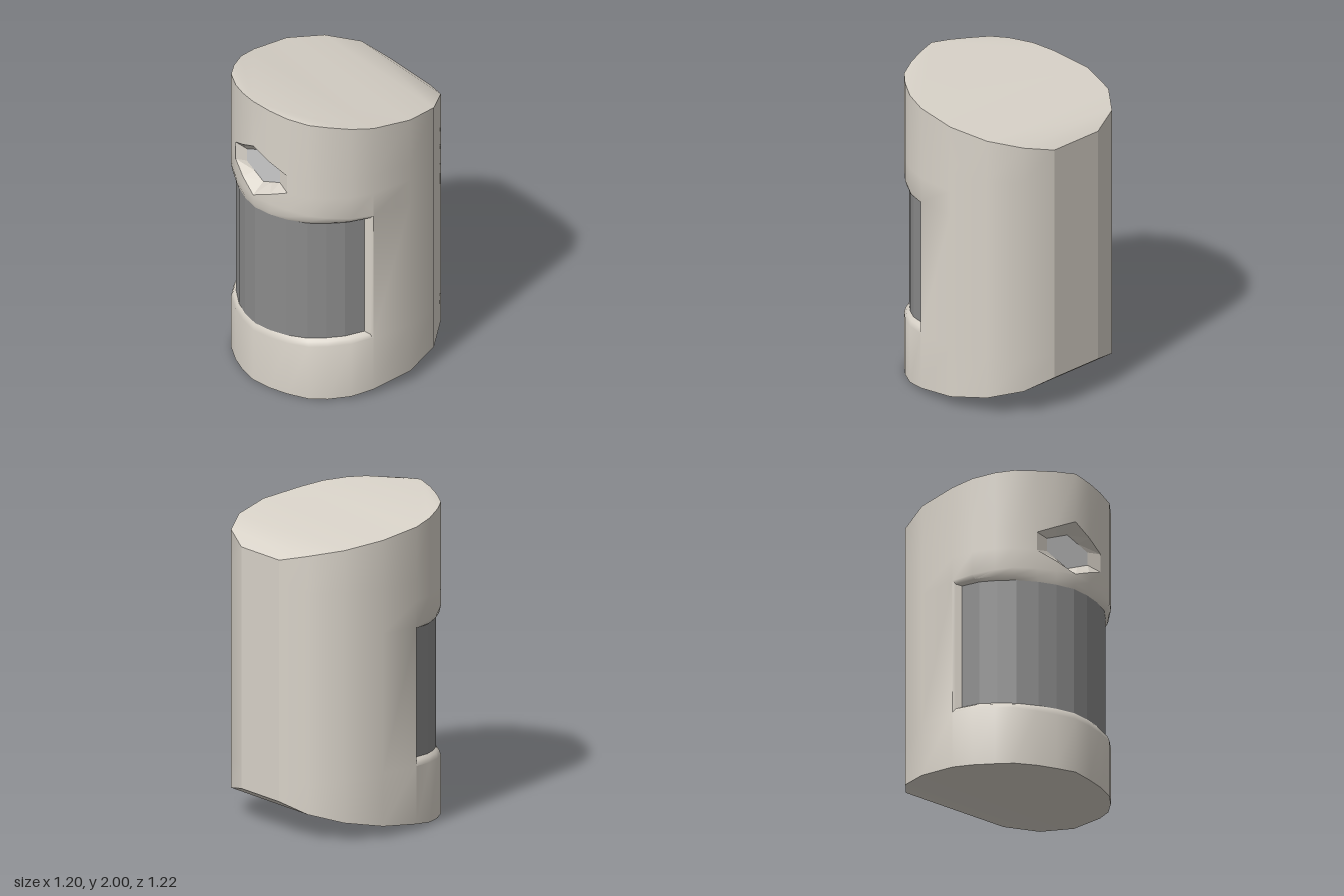
import * as THREE from 'three';
import { toCreasedNormals } from 'three/addons/utils/BufferGeometryUtils.js';

const V = (x, y, z) => new THREE.Vector3(x, y, z);

// Half outline from back to front: x, z, bottom height, top height
const HALF = [
  [0.19, -0.61, 0.215, 1.735], [0.385, -0.54, 0.165, 1.79], [0.53, -0.37, 0.115, 1.83],
  [0.6, -0.13, 0.07, 1.87], [0.58, 0.14, 0.035, 1.905], [0.535, 0.275, 0.015, 1.93],
  [0.455, 0.395, 0.003, 1.95], [0.375, 0.48, 0, 1.96], [0.25, 0.545, 0, 1.97],
  [0.13, 0.585, 0, 1.985], [0, 0.61, 0.005, 2],
];
const SIDE = 4; // outline point where the window ends

// Front-window lens, from side to centre: x, z
const LENS = [[0.53, 0.17], [0.49, 0.29], [0.425, 0.38], [0.345, 0.465], [0.23, 0.535], [0.12, 0.575], [0, 0.595]];

// Quads between two point rows; the lower row runs to the right as seen from outside
function ribbon(out, lower, upper, skip = () => false) {
  for (let i = 0; i + 1 < lower.length; i++) {
    if (skip(i)) continue;
    const [a, b, c, d] = [lower[i], lower[i + 1], upper[i + 1], upper[i]];
    for (const [p, q, r] of [[a, b, c], [a, c, d]]) {
      const area = q.clone().sub(p).cross(r.clone().sub(p)).length();
      if (area > 1e-7) out.push(p, q, r);
    }
  }
}

function toMesh(name, points, color, crease = 0) {
  let geo = new THREE.BufferGeometry().setFromPoints(points);
  geo.computeVertexNormals();
  if (crease) geo = toCreasedNormals(geo, crease);
  const mesh = new THREE.Mesh(geo, new THREE.MeshStandardMaterial({ color, flatShading: !crease }));
  mesh.name = name;
  return mesh;
}

// Mirror a side-to-centre list into a full left-to-right list
const mirror = (list) => [...list.map(([x, ...r]) => [-x, ...r]), ...list.slice(0, -1).reverse()];

export function createModel() {
  const group = new THREE.Group();
  const SHELL = 0xd8d2c8;

  // Columns around the shell with the heights of window and sensor opening
  const columns = mirror(HALF).map(([x, z, bottom, top]) => {
    const w = Math.min(1, Math.abs(x) / 0.58) ** 3;
    const h = Math.min(1, Math.abs(x) / 0.25);
    return {
      x, z,
      ys: [bottom, 0.36 + 0.04 * w, 1.32 - 0.04 * w, 1.33 + 0.11 * h, 1.68 - 0.12 * h, top],
    };
  });
  const row = (k) => columns.map((c) => V(c.x, c.ys[k], c.z));
  const rows = [0, 1, 2, 3, 4, 5].map(row);
  const last = columns.length - 1;
  const inWindow = (i) => i >= SIDE && i < last - SIDE;
  const inOpening = (i) => i >= 8 && i < last - 8;

  // Curved wall with the two openings left out
  const wall = [];
  for (let k = 0; k < 5; k++) {
    ribbon(wall, rows[k], rows[k + 1], (i) => (k === 1 && inWindow(i)) || (k === 3 && inOpening(i)));
  }

  // Rounded lip around the window
  const lens = mirror(LENS);
  const lensRow = (y, dy) => lens.map(([x, z]) => V(x, y + dy * (Math.abs(x) / 0.53) ** 3, z));
  const lensLow = lensRow(0.405, 0.035), lensHigh = lensRow(1.235, 0.015);
  const outLow = rows[1].slice(SIDE, last - SIDE + 1), outHigh = rows[2].slice(SIDE, last - SIDE + 1);
  const lip = (outer, inner) => outer.map((p, i) => {
    const q = inner[i];
    return V(p.x + (q.x - p.x) * 0.35, p.y + (q.y - p.y) * 0.65, p.z + (q.z - p.z) * 0.35);
  });
  const midLow = lip(outLow, lensLow), midHigh = lip(outHigh, lensHigh);
  ribbon(wall, outLow, midLow);
  ribbon(wall, midLow, lensLow);
  ribbon(wall, lensHigh, midHigh);
  ribbon(wall, midHigh, outHigh);
  const e = lens.length - 1;
  const lowSets = [outLow, midLow, lensLow], highSets = [outHigh, midHigh, lensHigh];
  ribbon(wall, lowSets.map((s) => s[0]), highSets.map((s) => s[0]));
  ribbon(wall, lowSets.map((s) => s[e]).reverse(), highSets.map((s) => s[e]).reverse());
  group.add(toMesh('shellWall', wall, SHELL, 0.75));

  // Flat back
  const back = [];
  ribbon(back, [rows[0][last], rows[0][0]], [rows[5][last], rows[5][0]]);
  group.add(toMesh('backPanel', back, SHELL));

  // Sloping top: a front fan with a central ridge triangle, then strips to the back
  const center = last / 2;
  const top = [];
  const topLeft = rows[5].slice(0, center + 1).reverse(), topRight = rows[5].slice(center);
  const n = center - SIDE;
  const apex = Array(n + 1).fill(topRight[0]);
  ribbon(top, topRight.slice(0, n + 1), apex);
  ribbon(top, apex, topLeft.slice(0, n + 1));
  ribbon(top, [apex[0], ...topRight.slice(n)], [apex[0], ...topLeft.slice(n)]);
  group.add(toMesh('topCap', top, SHELL, 0.6));

  // Sloping underside
  const bottom = [];
  ribbon(bottom, rows[0].slice(0, center + 1).reverse(), rows[0].slice(center));
  group.add(toMesh('bottomCap', bottom, SHELL, 0.6));

  // Faceted window lens
  const lensFaces = [];
  ribbon(lensFaces, lensLow, lensHigh);
  group.add(toMesh('windowLens', lensFaces, 0x8a8a8a));

  // Hexagonal sensor opening: sloped sides and a flat panel
  const holeLow = rows[3].slice(8, last - 7), holeHigh = rows[4].slice(8, last - 7);
  const inset = (pts, y, dy) => pts.map((p) => V(p.x * 0.64, y + (dy * Math.abs(p.x)) / 0.25, 0.53));
  const inLow = inset(holeLow, 1.395, 0.07), inHigh = inset(holeHigh, 1.62, -0.07);
  const h = holeLow.length - 1;
  const bevel = [];
  ribbon(bevel, holeLow, inLow);
  ribbon(bevel, inHigh, holeHigh);
  ribbon(bevel, [holeLow[0], inLow[0]], [holeHigh[0], inHigh[0]]);
  ribbon(bevel, [inLow[h], holeLow[h]], [inHigh[h], holeHigh[h]]);
  group.add(toMesh('sensorBevel', bevel, SHELL));
  const panel = [];
  ribbon(panel, inLow, inHigh);
  group.add(toMesh('sensorPanel', panel, 0xbcbcbc));

  return group;
}
